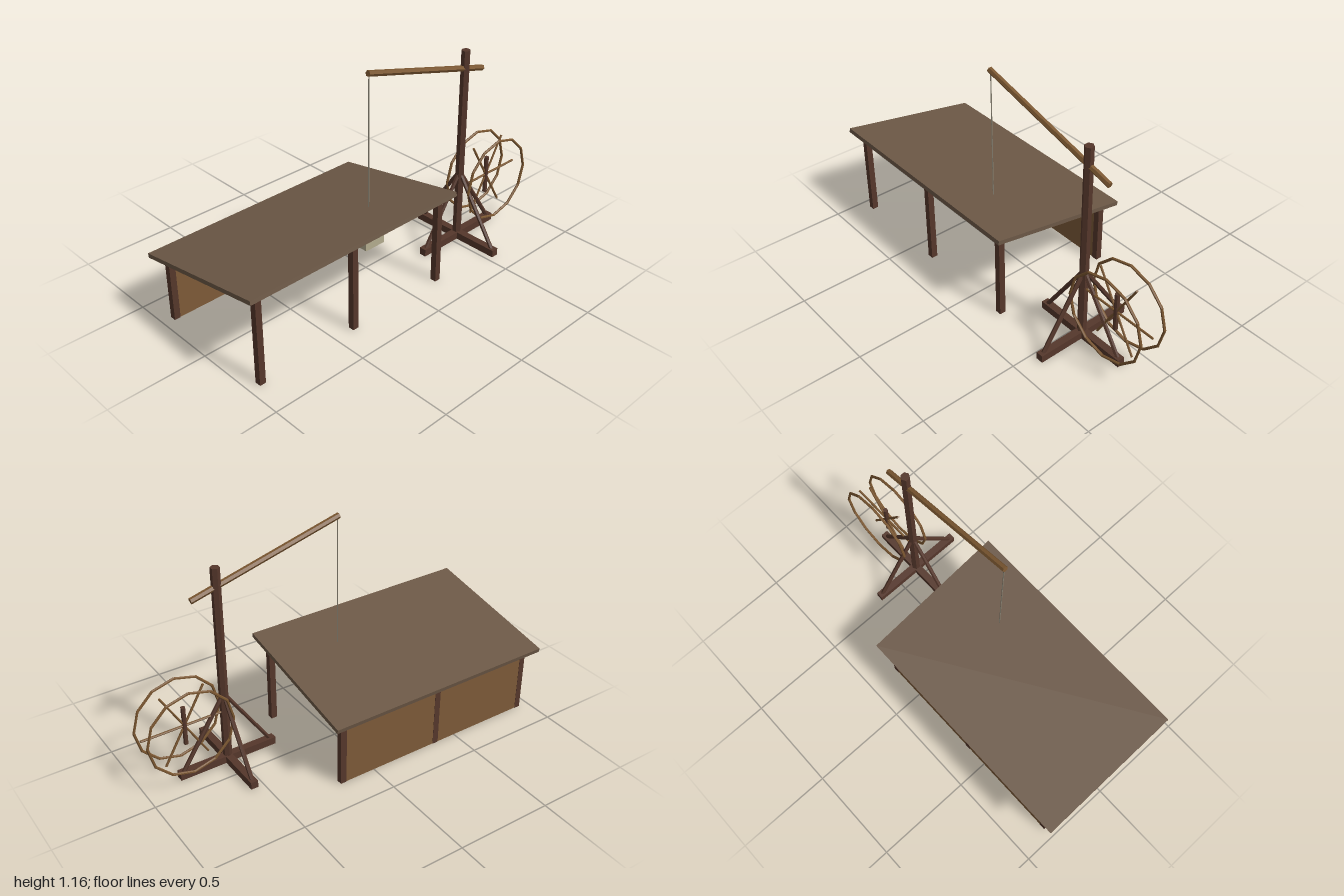
import * as THREE from 'three';

const mat = (name, color) => {
  const m = new THREE.MeshStandardMaterial({ color });
  m.name = name;
  m.flatShading = true;
  return m;
};

export function createModel() {
  const darkWood = mat('dark wood', 0x55372b);
  const lightWood = mat('light wood', 0x7a5630);
  const wallWood = mat('wall boards', 0x7d5a38);
  const roofWood = mat('roof boards', 0x6c5846);
  const ropeGrey = mat('rope', 0x8a8474);
  const stone = mat('stone', 0xb3ab8e);

  const model = new THREE.Group();
  model.name = 'shedAndCrane';
  const group = (name) => {
    const g = new THREE.Group();
    g.name = name;
    model.add(g);
    return g;
  };
  const add = (parent, name, geometry, material, x = 0, y = 0, z = 0) => {
    const m = new THREE.Mesh(geometry, material);
    m.name = name;
    m.position.set(x, y, z);
    parent.add(m);
    return m;
  };
  const box = (parent, name, material, w, h, d, x, y, z) =>
    add(parent, name, new THREE.BoxGeometry(w, h, d), material, x, y, z);
  // Round pole between two points
  const pole = (parent, name, material, a, b, r, sides = 6) => {
    const p = new THREE.Vector3(...a), q = new THREE.Vector3(...b);
    const dir = q.clone().sub(p);
    const m = add(parent, name, new THREE.CylinderGeometry(r, r, dir.length(), sides), material);
    m.position.copy(p).add(q).multiplyScalar(0.5);
    m.quaternion.setFromUnitVectors(new THREE.Vector3(0, 1, 0), dir.normalize());
    return m;
  };

  // Open shed: six posts, back wall and sloping roof
  const shed = group('shed');
  for (const x of [-0.93, -0.378, 0.179]) {
    box(shed, 'frontPost', darkWood, 0.032, 0.468, 0.032, x, 0.234, 0.311);
    box(shed, 'backPost', darkWood, 0.032, 0.347, 0.032, x, 0.1735, -0.326);
  }
  box(shed, 'backWall', wallWood, 1.109, 0.343, 0.029, -0.3755, 0.1725, -0.326);
  const roof = box(shed, 'roof', roofWood, 1.245, 0.022, 0.767, -0.3775, 0.421, -0.009);
  roof.rotation.x = -0.178;

  // Crane: crossed base, mast, four braces and slanting boom
  const crane = group('crane');
  const cx = 0.55, cz = 0.123;
  box(crane, 'baseBeam', darkWood, 0.525, 0.039, 0.038, cx, 0.0195, cz);
  box(crane, 'crossBeam', darkWood, 0.038, 0.0385, 0.525, cx, 0.01925, cz);
  pole(crane, 'mast', darkWood, [cx, 0.02, cz], [cx, 1.065, cz], 0.023);
  for (const [dx, dz] of [[1, 0], [-1, 0], [0, 1], [0, -1]]) {
    pole(crane, 'brace', darkWood,
      [cx + dx * 0.24, 0.03, cz + dz * 0.24], [cx, 0.395, cz], 0.011);
  }
  pole(crane, 'boom', lightWood, [-0.107, 1.143, cz], [0.68, 0.934, cz], 0.015);
  pole(crane, 'rope', ropeGrey, [-0.1, 0.33, cz], [-0.1, 1.141, cz], 0.003, 5);
  box(crane, 'stoneBlock', stone, 0.118, 0.08, 0.092, -0.103, 0.295, cz + 0.002);

  // Tread wheel: two rims, spokes in the middle plane and an upright hub
  const wheel = group('treadWheel');
  wheel.position.set(0.763, 0.295, cz);
  for (const side of [-1, 1]) {
    add(wheel, 'rim', new THREE.TorusGeometry(0.223, 0.007, 6, 12), lightWood, 0, 0, side * 0.073);
  }
  for (let i = 0; i < 3; i++) {
    const a = i * Math.PI / 3, c = 0.223 * Math.cos(a), s = 0.223 * Math.sin(a);
    pole(wheel, 'spokes', lightWood, [-c, -s, 0], [c, s, 0], 0.006);
  }
  pole(wheel, 'hub', darkWood, [0, -0.104, 0], [0, 0.104, 0], 0.012, 8);

  return model;
}
